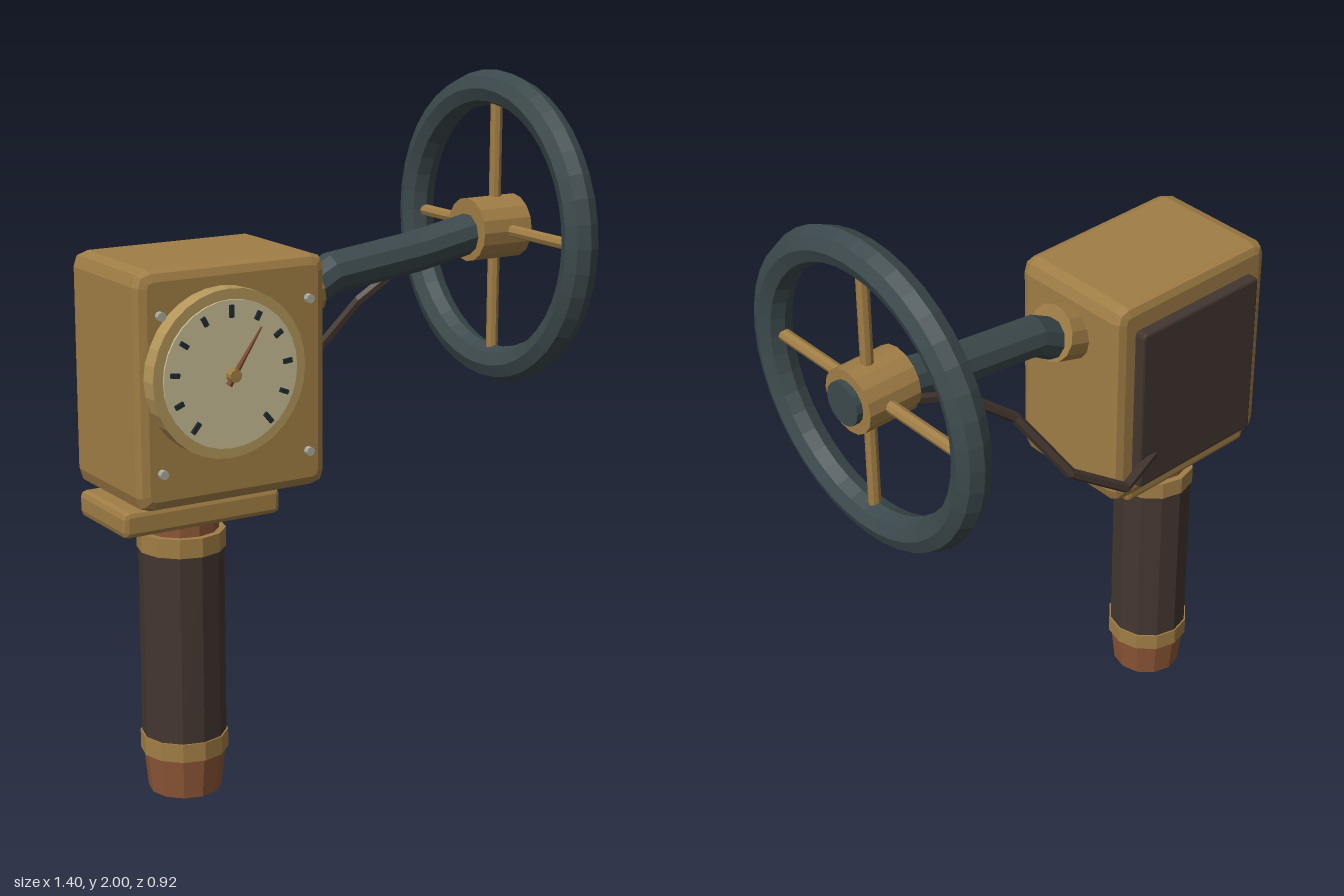
import * as THREE from 'three';

const mat = (name, color) => {
  const m = new THREE.MeshStandardMaterial({ color });
  m.name = name;
  return m;
};

// straight-segmented path, so that a tube bends exactly at its points
class Polyline extends THREE.Curve {
  constructor(points) {
    super();
    this.points = points.map((p) => new THREE.Vector3(...p));
  }
  getPoint(t, target = new THREE.Vector3()) {
    const n = this.points.length - 1;
    const i = Math.min(Math.floor(t * n + 1e-9), n - 1);
    return target.lerpVectors(this.points[i], this.points[i + 1], t * n - i);
  }
  getPointAt(t, target) { return this.getPoint(t, target); }
  getTangentAt(t, target) { return this.getTangent(t, target); }
}

export function createModel() {
  const model = new THREE.Group();
  model.name = 'gaugeWithHandwheel';
  const brass = mat('brass', 0xa07d45);
  const paleBrass = mat('pale brass', 0xb3965a);
  const cream = mat('cream', 0xc8bc96);
  const slate = mat('slate', 0x3c494c);
  const leather = mat('dark leather', 0x43362f);
  const bronze = mat('bronze', 0x8c5636);
  const ink = mat('ink', 0x1f2a2e);
  const steel = mat('steel', 0xaaa99c);

  // adds a facetted mesh
  const add = (name, geometry, material, pos = [0, 0, 0], parent = model) => {
    const g = geometry.index ? geometry.toNonIndexed() : geometry;
    g.computeVertexNormals();
    const mesh = new THREE.Mesh(g, material);
    mesh.name = name;
    mesh.position.set(...pos);
    parent.add(mesh);
    return mesh;
  };
  const cyl = (top, bottom, h, sides) => new THREE.CylinderGeometry(top, bottom, h, sides);

  // box with rounded outline corners and bevelled front and back edges
  const bevelBox = (w, h, d, bevel, radius) => {
    const x = w / 2 - bevel, y = h / 2 - bevel, r = radius;
    const s = new THREE.Shape();
    s.moveTo(-x + r, -y);
    s.lineTo(x - r, -y);
    s.quadraticCurveTo(x, -y, x, -y + r);
    s.lineTo(x, y - r);
    s.quadraticCurveTo(x, y, x - r, y);
    s.lineTo(-x + r, y);
    s.quadraticCurveTo(-x, y, -x, y - r);
    s.lineTo(-x, -y + r);
    s.quadraticCurveTo(-x, -y, -x + r, -y);
    const g = new THREE.ExtrudeGeometry(s, {
      depth: d - 2 * bevel, bevelEnabled: true, bevelSize: bevel,
      bevelThickness: bevel, bevelSegments: 2, curveSegments: 2,
    });
    return g.translate(0, 0, -d / 2 + bevel);
  };

  // housing, mounting plate and back cover
  add('housing', bevelBox(0.584, 0.66, 0.404, 0.03, 0.018), brass, [-0.388, 1.23, 0]);
  add('mountingPlate', bevelBox(0.49, 0.075, 0.28, 0.015, 0.006), brass, [-0.455, 0.855, 0]);
  add('backCover', bevelBox(0.455, 0.525, 0.045, 0.008, 0.006), leather, [-0.388, 1.215, -0.213]);

  // handle, stacked from the bottom: name, start, end, lower and upper radius
  for (const [name, y0, y1, r0, r1, material] of [
    ['handleFoot', 0, 0.12, 0.105, 0.118, bronze],
    ['lowerRing', 0.118, 0.172, 0.126, 0.126, brass],
    ['grip', 0.17, 0.73, 0.121, 0.121, leather],
    ['upperRing', 0.725, 0.78, 0.126, 0.126, brass],
    ['handleNeck', 0.775, 0.825, 0.107, 0.107, bronze],
  ]) add(name, cyl(r1, r0, y1 - y0, 12), material, [-0.453, (y0 + y1) / 2, 0]);

  // dial
  const dial = new THREE.Group();
  dial.name = 'dial';
  dial.position.set(-0.43, 1.27, 0.2);
  model.add(dial);
  add('dialRim', cyl(0.233, 0.233, 0.06, 32).rotateX(Math.PI / 2), paleBrass, [0, 0, 0.022], dial);
  add('dialFace', cyl(0.204, 0.204, 0.008, 32).rotateX(Math.PI / 2), cream, [0, 0, 0.054], dial);
  for (let i = 0; i < 11; i++) {
    const a = THREE.MathUtils.degToRad(-140 + 28 * i);
    const tick = add('tick', new THREE.BoxGeometry(0.013, i % 5 ? 0.026 : 0.034, 0.008), ink,
      [0.173 * Math.sin(a), 0.173 * Math.cos(a), 0.062], dial);
    tick.rotation.z = -a;
  }
  const needle = add('needle', cyl(0.003, 0.011, 0.18, 4).scale(1, 1, 0.4).translate(0, 0.06, 0),
    bronze, [0, 0, 0.073], dial);
  needle.rotation.z = -0.6;
  add('needlePivot', cyl(0.018, 0.018, 0.027, 10).rotateX(Math.PI / 2), brass, [0, 0, 0.07], dial);

  // corner screws
  for (const x of [-0.615, -0.158])
    for (const y of [1.008, 1.44])
      add('screw', cyl(0.013, 0.013, 0.03, 8).rotateX(Math.PI / 2), steel, [x, y, 0.204]);

  // arm with its collar
  const collar = add('armCollar', cyl(0.084, 0.084, 0.14, 14), brass, [-0.097, 1.414, 0]);
  collar.rotation.z = -Math.PI / 2 + 0.29;
  const armPath = [[-0.07, 1.395, 0], [-0.026, 1.418, 0], [0.04, 1.455, 0], [0.33, 1.49, 0], [0.54, 1.53, 0]];
  add('arm', new THREE.TubeGeometry(new Polyline(armPath), armPath.length - 1, 0.06, 10), slate);

  // cable from the back cover to the hub
  const cablePath = [[-0.22, 1.045, -0.225], [-0.07, 1.025, -0.27], [0.108, 1.145, -0.233],
    [0.22, 1.335, -0.13], [0.38, 1.46, -0.084], [0.53, 1.51, -0.072]];
  add('cable', new THREE.TubeGeometry(new Polyline(cablePath), cablePath.length - 1, 0.016, 6), leather);

  // handwheel, turning about x
  const wheel = new THREE.Group();
  wheel.name = 'handwheel';
  wheel.position.set(0.613, 1.538, 0);
  model.add(wheel);
  add('rim', new THREE.TorusGeometry(0.41, 0.052, 8, 40).rotateY(Math.PI / 2), slate, [0, 0, 0], wheel);
  add('hub', cyl(0.094, 0.094, 0.168, 16).rotateZ(Math.PI / 2), brass, [-0.016, 0, 0], wheel);
  add('hubCap', cyl(0.063, 0.063, 0.04, 16).rotateZ(Math.PI / 2), slate, [0.067, 0, 0], wheel);
  for (let i = 0; i < 4; i++) {
    const spoke = add('spoke', cyl(0.018, 0.018, 0.32, 8).translate(0, 0.23, 0), brass, [0, 0, 0], wheel);
    spoke.rotation.x = i * Math.PI / 2;
  }
  return model;
}
